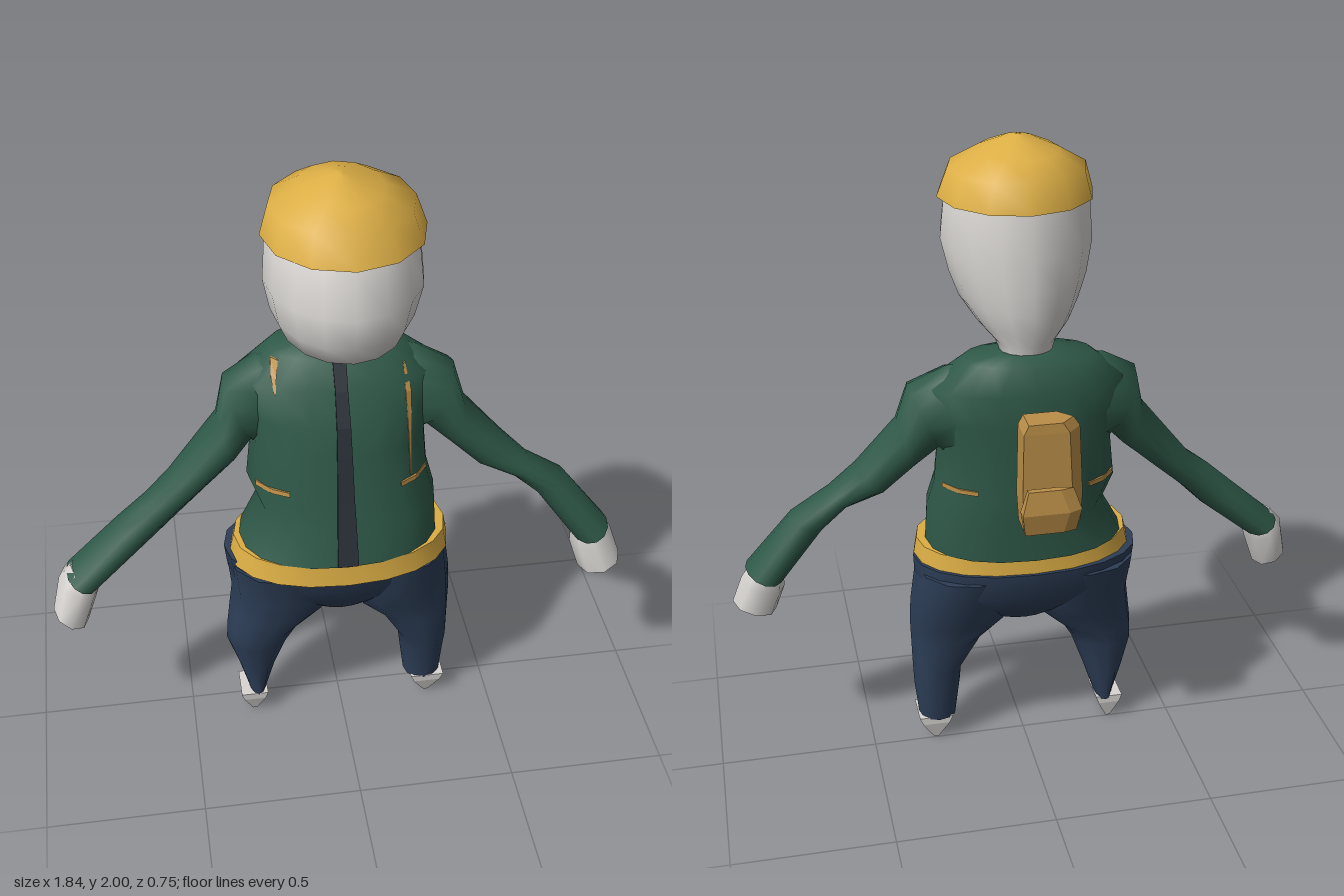
import * as THREE from 'three';

const colour = (name, hex) => {
  const m = new THREE.MeshStandardMaterial({ color: hex });
  m.name = name;
  return m;
};

// Skin a list of closed point rings, cap both ends and turn the faces outward
function loft(name, rings, mat, flat = false) {
  const n = rings[0].length, pos = [], idx = [];
  const put = p => pos.push(p.x, p.y, p.z) / 3 - 1;
  rings.forEach(r => r.forEach(put));
  for (let i = 0; i < rings.length - 1; i++) {
    for (let j = 0; j < n; j++) {
      const a = i * n + j, b = i * n + (j + 1) % n;
      idx.push(a, b, a + n, b, b + n, a + n);
    }
  }
  [rings[0], rings[rings.length - 1]].forEach((ring, end) => {
    const mid = ring.reduce((s, p) => s.add(p), new THREE.Vector3()).divideScalar(n);
    const c = put(mid), first = c + 1;
    ring.forEach(put);
    for (let j = 0; j < n; j++) {
      const a = first + j, b = first + (j + 1) % n;
      if (end) idx.push(c, a, b); else idx.push(c, b, a);
    }
  });
  const v = i => new THREE.Vector3().fromArray(pos, i * 3);
  let volume = 0;
  for (let i = 0; i < idx.length; i += 3) volume += v(idx[i]).dot(v(idx[i + 1]).cross(v(idx[i + 2])));
  if (volume < 0) idx.reverse();
  let g = new THREE.BufferGeometry();
  g.setAttribute('position', new THREE.Float32BufferAttribute(pos, 3));
  g.setIndex(idx);
  if (flat) g = g.toNonIndexed();
  g.computeVertexNormals();
  const mesh = new THREE.Mesh(g, mat);
  mesh.name = name;
  return mesh;
}

// Level rings from [y, xMin, xMax, zMin, zMax]; power squares the oval
const bend = (t, p) => Math.abs(t) < 1e-9 ? 0 : Math.sign(t) * Math.abs(t) ** (2 / p);
const levels = (rows, n, p = 2, turn = 0) => rows.map(([y, x0, x1, z0, z1]) =>
  Array.from({ length: n }, (_, i) => {
    const a = (i + turn) / n * Math.PI * 2;
    return new THREE.Vector3(
      (x0 + x1) / 2 + (x1 - x0) / 2 * bend(Math.sin(a), p), y,
      (z0 + z1) / 2 + (z1 - z0) / 2 * bend(Math.cos(a), p));
  }));

// Limb rings from [upperX, upperY, lowerX, lowerY, zMin, zMax]
const slants = (rows, side, n) => rows.map(([ux, uy, lx, ly, z0, z1]) =>
  Array.from({ length: n }, (_, i) => {
    const a = i / n * Math.PI * 2, c = Math.cos(a);
    return new THREE.Vector3(side * ((ux + lx) / 2 + (ux - lx) / 2 * c),
      (uy + ly) / 2 + (uy - ly) / 2 * c, (z0 + z1) / 2 + (z1 - z0) / 2 * Math.sin(a));
  }));

const TORSO_POWER = 2.25;
const TORSO = [
  [0.745, -0.318, 0.308, -0.18, 0.26], [0.87, -0.25, 0.302, -0.185, 0.232],
  [0.96, -0.285, 0.278, -0.187, 0.21], [1.1, -0.268, 0.268, -0.19, 0.182],
  [1.2, -0.285, 0.285, -0.19, 0.158], [1.3, -0.3, 0.3, -0.185, 0.112],
  [1.38, -0.2, 0.19, -0.16, 0.065], [1.4, -0.08, 0.08, -0.12, 0.0],
];

// Depth of the jacket surface at x, y; face is 1 for the chest, -1 for the back
function jacketZ(x, y, face) {
  let i = 0;
  while (i < TORSO.length - 2 && y > TORSO[i + 1][0]) i++;
  const t = (y - TORSO[i][0]) / (TORSO[i + 1][0] - TORSO[i][0]);
  const [, x0, x1, z0, z1] = TORSO[i].map((v, k) => THREE.MathUtils.lerp(v, TORSO[i + 1][k], t));
  const u = Math.min(1, Math.abs((x - (x0 + x1) / 2) / ((x1 - x0) / 2)));
  return (z0 + z1) / 2 + face * ((z1 - z0) / 2 * (1 - u ** TORSO_POWER) ** (1 / TORSO_POWER) + 0.006);
}

// Thin band lying on the jacket between two rows of [xA, yA, xB, yB]
function ribbon(name, rows, mat, face = 1) {
  const rings = rows.map(([xa, ya, xb, yb]) => {
    const a = new THREE.Vector3(xa, ya, jacketZ(xa, ya, face));
    const b = new THREE.Vector3(xb, yb, jacketZ(xb, yb, face));
    const depth = new THREE.Vector3(0, 0, -0.008 * face);
    return [a, b, b.clone().add(depth), a.clone().add(depth)];
  });
  return loft(name, rings, mat, true);
}

export function createModel() {
  const model = new THREE.Group();
  const skin = colour('pale skin', 0xd8d5d2), green = colour('jacket green', 0x2f5949);
  const gold = colour('cap yellow', 0xdcae45), navy = colour('trouser blue', 0x2d3e57);
  const tan = colour('pack tan', 0xba8e48), dark = colour('placket grey', 0x2b3039);

  // Head, with the jaw sloping back to the neck, and cap
  model.add(loft('head', levels([
    [1.38, -0.07, 0.075, -0.11, -0.01], [1.425, -0.09, 0.09, -0.12, 0.07],
    [1.47, -0.14, 0.135, -0.135, 0.2], [1.53, -0.18, 0.178, -0.147, 0.32],
    [1.6, -0.208, 0.203, -0.147, 0.36], [1.7, -0.227, 0.226, -0.147, 0.375],
    [1.83, -0.217, 0.215, -0.13, 0.33], [1.88, -0.19, 0.19, -0.11, 0.29],
  ], 16), skin));
  model.add(loft('cap', levels([
    [1.83, -0.23, 0.236, -0.142, 0.34], [1.915, -0.205, 0.205, -0.122, 0.302],
    [1.96, -0.125, 0.115, -0.05, 0.24], [1.99, -0.055, 0.04, 0.04, 0.16], [2, -0.012, 0, 0.09, 0.11],
  ], 12), gold));

  // Jacket, placket and belt
  model.add(loft('jacket', levels(TORSO, 20, TORSO_POWER), green));
  model.add(ribbon('placket', [[0.75, 0.032], [0.87, 0.029], [0.96, 0.026], [1.1, 0.023], [1.2, 0.021], [1.3, 0.019], [1.38, 0.02]]
    .map(([y, w]) => [-w - 0.004, y, w - 0.004, y]), dark));
  model.add(loft('belt', levels([
    [0.675, -0.353, 0.347, -0.166, 0.265], [0.745, -0.337, 0.335, -0.16, 0.255],
  ], 20, 2.2), gold));

  // Arms and hands
  const shoulder = [0.15, 1.37, 0.19, 1.02, -0.14, 0.05];
  const arms = {
    rightArm: [-1, [[0.24, 1.36, 0.22, 1.05, -0.13, 0.075], [0.345, 1.3, 0.265, 1.09, -0.105, 0.09],
      [0.37, 1.18, 0.32, 1.03, -0.085, 0.1],
      [0.535, 0.975, 0.41, 0.95, -0.055, 0.1], [0.61, 0.915, 0.52, 0.85, -0.025, 0.11],
      [0.7, 0.835, 0.6, 0.77, -0.025, 0.115], [0.865, 0.685, 0.765, 0.635, -0.02, 0.165]],
      [[0.85, 0.705, 0.755, 0.655, 0.005, 0.14], [0.89, 0.66, 0.768, 0.61, -0.012, 0.16], [0.917, 0.55, 0.812, 0.497, 0.02, 0.17]]],
    leftArm: [1, [[0.24, 1.355, 0.22, 1.05, -0.13, 0.075], [0.355, 1.295, 0.265, 1.09, -0.105, 0.09],
      [0.39, 1.175, 0.34, 1.03, -0.085, 0.1],
      [0.52, 1.03, 0.435, 0.94, -0.055, 0.1], [0.6, 0.95, 0.55, 0.89, -0.025, 0.11],
      [0.725, 0.87, 0.625, 0.82, -0.025, 0.115], [0.872, 0.685, 0.76, 0.638, -0.02, 0.165]],
      [[0.85, 0.705, 0.755, 0.655, 0.005, 0.14], [0.887, 0.65, 0.755, 0.605, -0.012, 0.16], [0.92, 0.555, 0.785, 0.513, 0.02, 0.17]]],
  };
  for (const [name, [side, arm, hand]] of Object.entries(arms)) {
    model.add(loft(name, slants([shoulder, ...arm], side, 12), green));
    model.add(loft(name.replace('Arm', 'Hand'), slants(hand, side, 8), skin));
  }

  // Trousers: seat and two tapering legs
  model.add(loft('trouserSeat', levels([
    [0.69, -0.368, 0.348, -0.175, 0.235], [0.6, -0.358, 0.348, -0.16, 0.208],
    [0.53, -0.31, 0.31, -0.11, 0.175], [0.455, -0.1, 0.1, -0.035, 0.12],
  ], 20, 2.2), navy));
  const legs = {
    right: [-1, [[0.66, 0.0, 0.362], [0.53, 0.01, 0.35], [0.45, 0.05, 0.362], [0.37, 0.14, 0.372],
      [0.31, 0.175, 0.375], [0.2, 0.215, 0.342], [0.08, 0.255, 0.307]]],
    left: [1, [[0.66, 0.0, 0.345], [0.53, 0.01, 0.362], [0.45, 0.05, 0.365], [0.38, 0.13, 0.363],
      [0.27, 0.198, 0.36], [0.2, 0.207, 0.358], [0.08, 0.222, 0.345]]],
  };
  const legDepth = [[-0.16, 0.215], [-0.115, 0.185], [-0.075, 0.165], [-0.055, 0.15],
    [-0.04, 0.138], [-0.035, 0.11], [-0.02, 0.105]];
  for (const [name, [side, rows]] of Object.entries(legs)) {
    const rings = rows.map(([y, a, b], i) => [y, side * a, side * b, ...legDepth[i]]);
    model.add(loft(name + 'Leg', levels(rings, 12, 2.1), navy));
    // Small wedge foot, narrowing to a ridge on the ground
    const c = side * 0.295, w = side > 0 ? 0.066 : 0.053;
    model.add(loft(name + 'Foot', levels([
      [0.086, c - w, c + w, -0.022, 0.115], [0.06, c - w * 0.8, c + w * 0.8, -0.022, 0.113],
      [0, c - 0.008, c + 0.008, -0.005, 0.09],
    ], 4, 4, 0.5), skin, true));
  }

  // Backpack and its pocket, five-sided with a point toward the right
  const pack = rows => rows.map(([y, x0, x1, z0, z1]) => [
    [x0, (z0 + z1) / 2], [x0 + 0.04, z1], [x1, z1], [x1, z0], [x0 + 0.04, z0],
  ].map(([x, z]) => new THREE.Vector3(x, y, z)));
  model.add(loft('backpack', pack([
    [0.93, -0.115, 0.065, -0.318, -0.24], [1.02, -0.12, 0.07, -0.325, -0.235],
    [1.24, -0.11, 0.065, -0.318, -0.232], [1.27, -0.09, 0.05, -0.315, -0.232],
  ]), tan, true));
  model.add(loft('packPocket', pack([
    [0.94, -0.085, 0.07, -0.362, -0.342], [1.01, -0.1, 0.08, -0.376, -0.34], [1.08, -0.075, 0.06, -0.362, -0.342],
  ]), tan, true));

  // Slivers of strap showing on the jacket
  model.add(ribbon('leftStrap', [[0.202, 1.0, 0.207, 1.0], [0.196, 1.15, 0.208, 1.15],
    [0.19, 1.27, 0.208, 1.27], [0.19, 1.34, 0.196, 1.34]], tan));
  model.add(ribbon('rightStrap', [[-0.2, 1.29, -0.195, 1.29], [-0.205, 1.33, -0.19, 1.33], [-0.2, 1.37, -0.18, 1.37]], tan));
  for (const face of [1, -1]) {
    for (const side of [1, -1]) {
      model.add(ribbon('waistStrap', [0.17, 0.22, 0.265].map((x, i) =>
        [side * x, 0.976 - i * 0.002, side * x, 0.99 - i * 0.002]), tan, face));
    }
  }
  return model;
}
